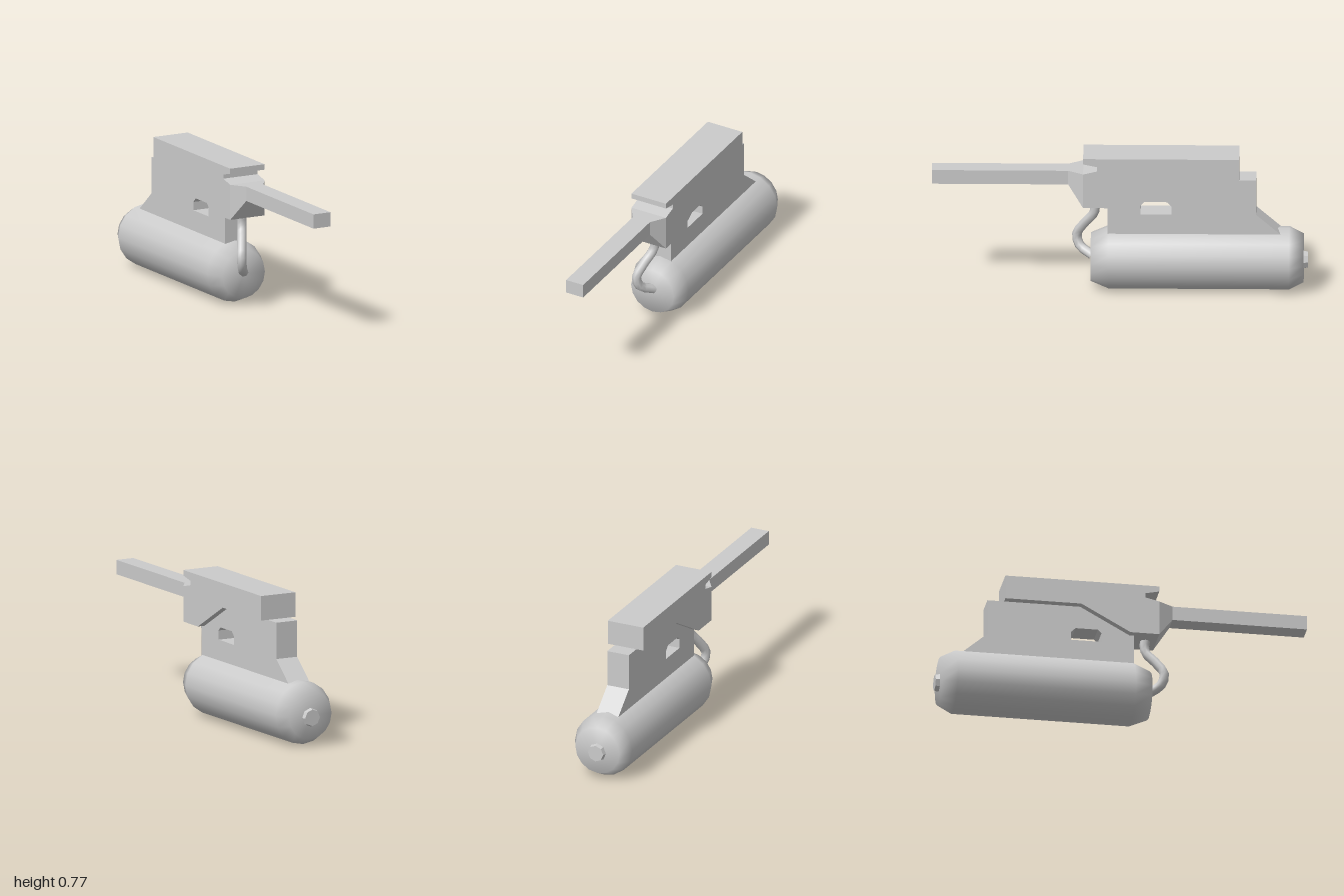
import * as THREE from 'three';

const material = new THREE.MeshStandardMaterial({ color: 0xcccccc });

function add(group, name, geometry) {
  const mesh = new THREE.Mesh(geometry, material);
  mesh.name = name;
  group.add(mesh);
  return mesh;
}

const toPoints = (list) => list.map(([a, b]) => new THREE.Vector2(a, b));

// Side profile of [z, y] points, extruded evenly across x
function slab(profile, width, hole) {
  const shape = new THREE.Shape(toPoints(profile));
  if (hole) shape.holes.push(new THREE.Path(toPoints(hole)));
  const g = new THREE.ExtrudeGeometry(shape, { depth: width, bevelEnabled: false });
  return g.translate(0, 0, -width / 2).rotateY(-Math.PI / 2);
}

// Solid of revolution along z, from [radius, z] points running back to front
function turned(profile, sides, y) {
  const g = new THREE.LatheGeometry(toPoints(profile), sides);
  return g.rotateX(Math.PI / 2).translate(0, y, 0);
}

export function createModel() {
  const model = new THREE.Group();

  // Upper housing with the notch under its front lip
  add(model, 'upperHousing', slab([
    [0.195, 0.768], [-0.635, 0.768], [-0.635, 0.635], [-0.225, 0.635],
    [0.04, 0.488], [0.195, 0.488], [0.195, 0.68], [0.12, 0.698],
    [0.12, 0.722], [0.195, 0.738],
  ], 0.21));

  // Tapered neck: a box whose rear face is wider and deeper
  const neck = new THREE.BoxGeometry(1, 1, 1);
  const p = neck.attributes.position;
  for (let i = 0; i < p.count; i++) {
    const rear = p.getZ(i) < 0;
    const bottom = rear ? 0.488 : 0.602;
    p.setXYZ(i,
      Math.sign(p.getX(i)) * (rear ? 0.105 : 0.052),
      p.getY(i) > 0 ? 0.68 : bottom,
      rear ? 0.195 : 0.275);
  }
  neck.computeVertexNormals();
  add(model, 'neck', neck);

  // Long square bar
  add(model, 'bar', new THREE.BoxGeometry(0.104, 0.078, 0.725))
    .position.set(0, 0.641, 0.6375);

  // Lower frame with a chamfered window
  add(model, 'lowerFrame', slab([
    [0.065, 0.3], [0.065, 0.488], [0.04, 0.488], [-0.225, 0.635],
    [-0.725, 0.635], [-0.725, 0.438], [-0.885, 0.3],
  ], 0.128, [
    [-0.11, 0.438], [-0.275, 0.438], [-0.275, 0.483], [-0.25, 0.508],
    [-0.13, 0.508], [-0.11, 0.488],
  ]));

  // Tank with rounded shoulders
  add(model, 'tank', turned([
    [0, -0.977], [0.13, -0.977], [0.169, -0.9], [0.169, 0.06], [0.13, 0.155], [0, 0.155],
  ], 16, 0.17));

  // Small cap at the rear of the tank
  const cap = new THREE.CylinderGeometry(0.054, 0.045, 0.04, 8).toNonIndexed();
  cap.rotateX(Math.PI / 2).computeVertexNormals();
  add(model, 'rearCap', cap).position.set(0, 0.16, -0.98);

  // Hose from the housing down to the front of the tank
  const path = new THREE.CatmullRomCurve3([
    [0, 0.53, 0.14], [0, 0.43, 0.135], [-0.032, 0.35, 0.19],
    [-0.055, 0.28, 0.23], [-0.042, 0.22, 0.215], [0.005, 0.18, 0.145],
  ].map((v) => new THREE.Vector3(...v)));
  add(model, 'hose', new THREE.TubeGeometry(path, 14, 0.026, 8));

  return model;
}
